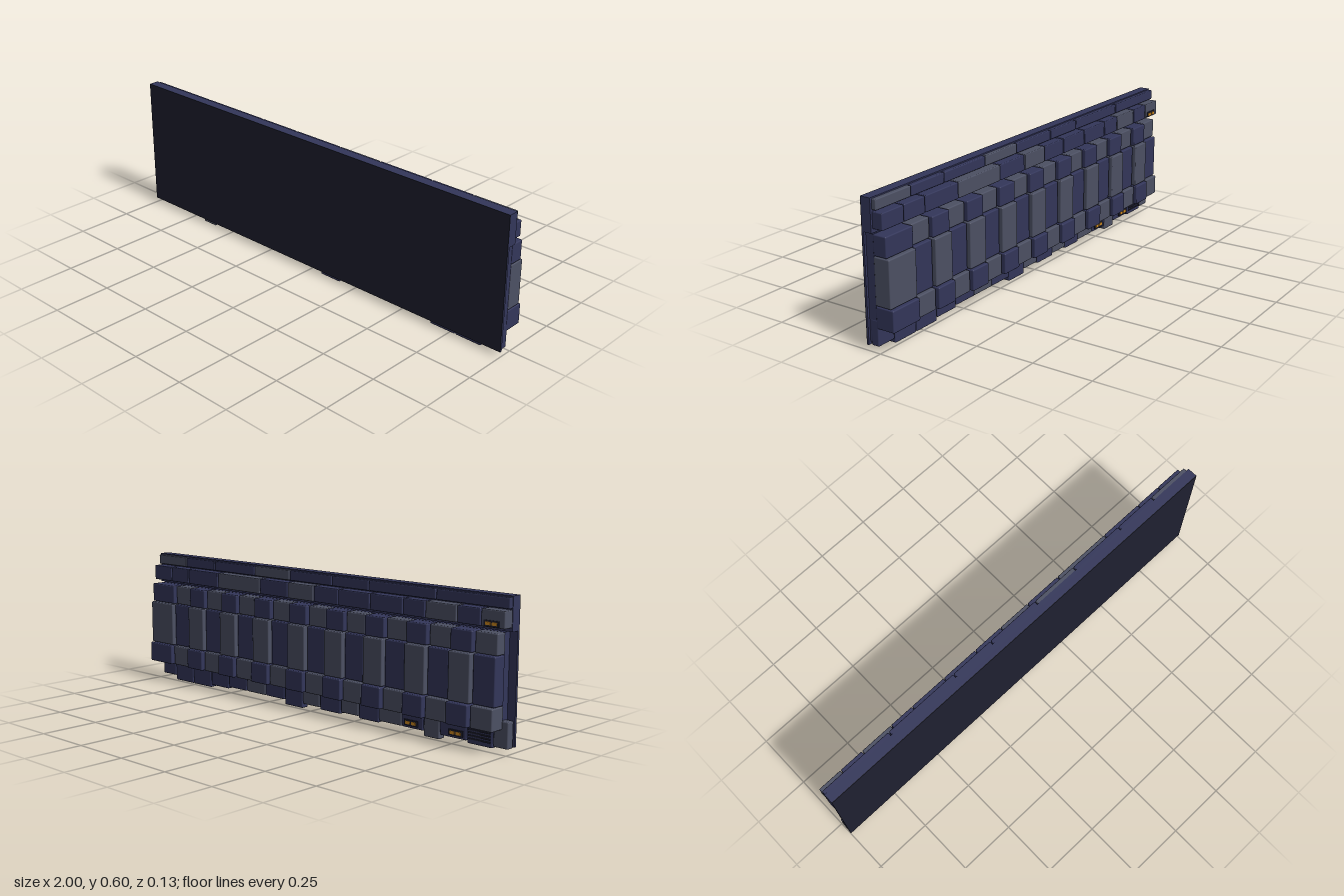
import * as THREE from 'three';
import { RoundedBoxGeometry } from 'three/addons/geometries/RoundedBoxGeometry.js';

const material = (color) => new THREE.MeshStandardMaterial({ color });

export function createModel() {
  const group = new THREE.Group();
  const navy = material(0x33365a);
  const grey = material(0x4c5063);
  const dark = material(0x1f2030);
  const orange = material(0xd08a20);

  // Box given by its limits; a radius above zero rounds its edges.
  function block(name, mat, x0, x1, y0, y1, z0, z1, radius = 0) {
    const w = x1 - x0, h = y1 - y0, d = z1 - z0;
    const geometry = radius > 0
      ? new RoundedBoxGeometry(w, h, d, 2, radius)
      : new THREE.BoxGeometry(w, h, d);
    const mesh = new THREE.Mesh(geometry, mat);
    mesh.position.set((x0 + x1) / 2, (y0 + y1) / 2, (z0 + z1) / 2);
    mesh.name = name;
    group.add(mesh);
  }

  // Flat wall, its smooth dark face, top beam and inset core
  block('wallFace', dark, -1, 1, 0.022, 0.595, 0.06, 0.063);
  block('wallPlate', navy, -1, 1, 0.022, 0.595, 0.053, 0.06);
  block('topBeam', navy, -1, 1, 0.462, 0.595, 0.018, 0.06);
  block('core', navy, -0.965, 0.99, 0.03, 0.458, 0.018, 0.053);

  // A row of bevelled panels between successive x limits
  function panelRow(name, limits, colors, y0, y1, z0, z1) {
    for (let i = 0; i < colors.length; i++) {
      const mat = colors[i] === 'G' ? grey : navy;
      block(name, mat, limits[i] + 0.002, limits[i + 1] - 0.002, y0, y1, z0, z1, 0.004);
    }
  }
  panelRow('topPanel', [-1, -0.66, -0.32, -0.12, 0.126, 0.34, 0.6, 0.795, 0.993],
    'NNNNGNNG', 0.548, 0.59, 0, 0.022);
  panelRow('upperPanel',
    [-1, -0.89, -0.78, -0.63, -0.52, -0.35, -0.18, -0.04, 0.11, 0.28, 0.55, 0.75, 0.87, 0.993],
    'GNGNNNNGNGNNN', 0.477, 0.543, -0.027, 0.022);

  // Checkered columns, every other one standing further out
  const columns = 18, pitch = 0.1065, start = -0.97;
  for (let i = 0; i < columns; i++) {
    const raised = i % 2 === 1;
    const x0 = start + i * pitch;
    const x1 = i === columns - 1 ? 0.992 : x0 + pitch - 0.006;
    const step = raised ? 0 : 0.012;
    const main = raised ? navy : grey;
    const other = raised ? grey : navy;
    block('columnTop', main, x0, x1, 0.375, 0.458, -0.041 + step, 0.02, 0.005);
    block('columnMiddle', other, x0, x1, 0.182, 0.373, -0.052 + step, 0.02, 0.005);
    block('columnBottom', main, x0, x1, 0.092, 0.18, -0.063 + step, 0.02, 0.005);
  }

  // Skirt blocks: [left limit, right limit, bottom, material]
  const skirt = [
    [-1, -0.93, 0.02, grey], [-0.93, -0.81, 0.012, navy], [-0.81, -0.68, 0.02, navy],
    [-0.68, -0.6, 0, grey], [-0.6, -0.49, 0.02, navy], [-0.49, -0.37, 0.02, grey],
    [-0.37, -0.26, 0.012, navy], [-0.26, -0.16, 0.02, grey], [-0.16, -0.04, 0.012, navy],
    [-0.04, 0.06, 0.02, grey], [0.06, 0.17, 0, navy], [0.17, 0.29, 0.02, navy],
    [0.29, 0.41, 0.02, grey], [0.41, 0.53, 0.02, navy], [0.53, 0.65, 0.012, navy],
    [0.65, 0.775, 0, navy], [0.775, 0.9, 0, navy], [0.9, 0.993, 0.02, navy],
  ];
  for (const [x0, x1, y0, mat] of skirt) {
    block('skirtBlock', mat, x0 + 0.002, x1 - 0.002, y0, 0.125, 0.013, 0.048, 0.005);
  }

  // Vent slats on the skirt
  for (let i = 0; i < 6; i++) {
    const y = 0.03 + i * 0.012;
    block('ventSlat', dark, -0.92, -0.82, y, y + 0.006, 0.009, 0.016);
  }

  // Small lamp plates, each with two lamps
  function lamps(x, y, z) {
    block('lampPlate', dark, x - 0.034, x + 0.034, y - 0.012, y + 0.012, z - 0.004, z + 0.004);
    for (const side of [-1, 1]) {
      const c = x + side * 0.015;
      block('lamp', orange, c - 0.011, c + 0.011, y - 0.006, y + 0.006, z - 0.007, z);
    }
  }
  lamps(-0.94, 0.492, -0.026);
  lamps(-0.76, 0.042, 0.012);
  lamps(-0.54, 0.042, 0.012);

  return group;
}
